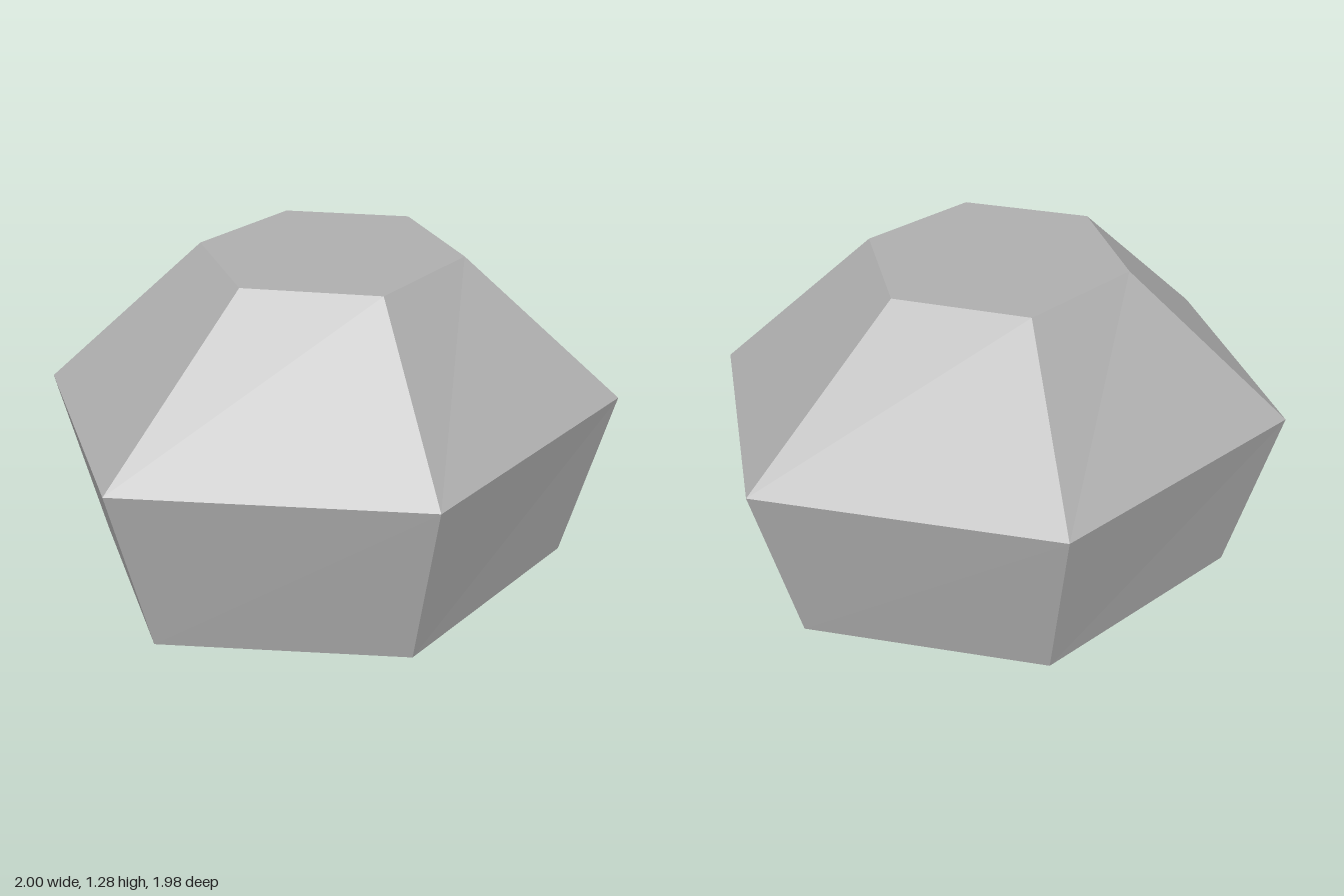
import * as THREE from 'three';

// Hexagonal cross-sections, bottom to top: height and half extents in x and z
const SECTIONS = [
  { y: 0, x: 0.857, z: 0.825 },
  { y: 0.717, x: 1, z: 0.99 },
  { y: 1.285, x: 0.43, z: 0.495 },
];
const SIDES = 6;

// Corner i of a section; corners 0 and 3 lie on the z axis
function corner({ y, x, z }, i) {
  const a = (i * Math.PI * 2) / SIDES;
  return [(Math.sin(a) / Math.sin(Math.PI / 3)) * x, y, Math.cos(a) * z];
}

function finish(points) {
  const geometry = new THREE.BufferGeometry();
  geometry.setAttribute('position', new THREE.Float32BufferAttribute(points.flat(), 3));
  geometry.computeVertexNormals();
  return geometry;
}

// Band of flat facets between two sections
function band(low, high) {
  const points = [];
  for (let i = 0; i < SIDES; i++) {
    const a = corner(low, i), b = corner(low, i + 1);
    const c = corner(high, i + 1), d = corner(high, i);
    points.push(a, b, c, a, c, d);
  }
  return finish(points);
}

// Flat hexagon closing a section
function cap(section, up) {
  const points = [];
  for (let i = 0; i < SIDES; i++) {
    const a = corner(section, i), b = corner(section, i + 1);
    points.push([0, section.y, 0], ...(up ? [a, b] : [b, a]));
  }
  return finish(points);
}

export function createModel() {
  const stone = new THREE.MeshStandardMaterial({ color: 0xb0b0b0, flatShading: true });
  stone.name = 'stone grey';
  const group = new THREE.Group();
  group.name = 'facetedStone';

  const add = (name, geometry) => {
    const mesh = new THREE.Mesh(geometry, stone);
    mesh.name = name;
    group.add(mesh);
  };
  add('base', cap(SECTIONS[0], false));
  add('lowerFacets', band(SECTIONS[0], SECTIONS[1]));
  add('upperFacets', band(SECTIONS[1], SECTIONS[2]));
  add('topFacet', cap(SECTIONS[2], true));
  return group;
}
